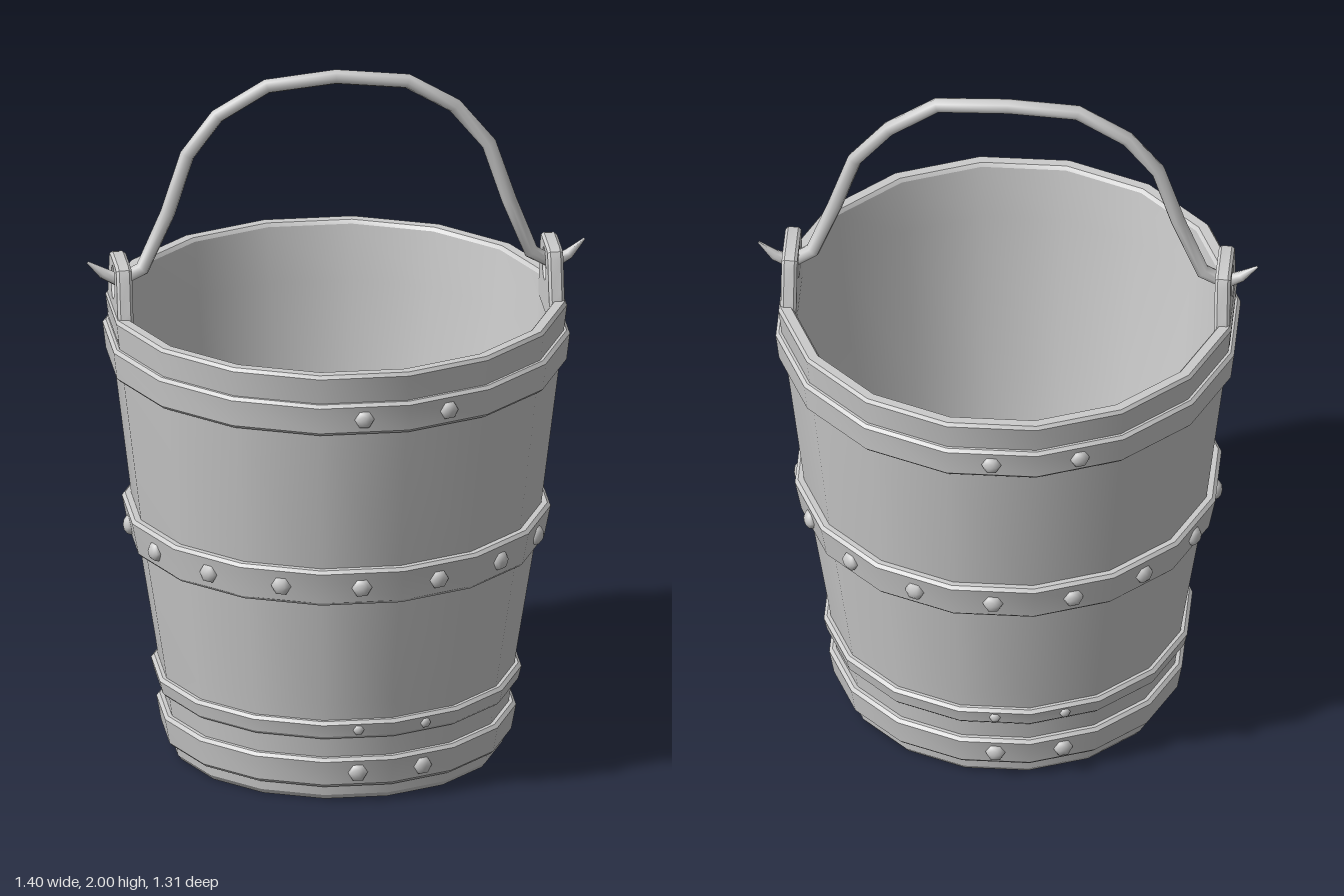
import * as THREE from 'three';
import { toCreasedNormals } from 'three/addons/utils/BufferGeometryUtils.js';

const SIDES = 16;
const FLAT = Math.cos(Math.PI / SIDES); // centre of a side relative to its corner

export function createModel() {
  const group = new THREE.Group();
  const material = new THREE.MeshStandardMaterial({ color: 0xcccccc });

  function add(name, geometry, parent = group) {
    const mesh = new THREE.Mesh(geometry, material);
    mesh.name = name;
    parent.add(mesh);
    return mesh;
  }

  // Sixteen-sided turned part; radii are measured to the middle of a side
  function turned(profile) {
    const points = profile.map(([r, y]) => new THREE.Vector2(r / FLAT, y));
    const lathe = new THREE.LatheGeometry(points, SIDES, Math.PI / SIDES);
    return toCreasedNormals(lathe, Math.PI / 6);
  }

  // Hollow tapered body with floor
  add('bucketBody', turned([
    [0, 0.02], [0.405, 0.02], [0.415, 0], [0.445, 0], [0.457, 0.015],
    [0.497, 0.3], [0.56, 0.7], [0.615, 1.16], [0.634, 1.32], [0.627, 1.33],
    [0.6, 1.33], [0.592, 1.32], [0.575, 1.16], [0.52, 0.7], [0.457, 0.3],
    [0.415, 0.04], [0, 0.04],
  ]));

  // Hoops with rivets; paired rivets sit on two neighbouring sides, front and back
  const pairs = [0, 1, 8, 9];
  const all = Array.from({ length: SIDES }, (_, i) => i);
  const hoops = [
    { name: 'topHoop', y0: 1.15, y1: 1.245, r0: 0.633, r1: 0.642, rivet: 0.028, at: pairs },
    { name: 'middleHoop', y0: 0.62, y1: 0.73, r0: 0.571, r1: 0.589, rivet: 0.029, at: all },
    { name: 'lowerHoop', y0: 0.195, y1: 0.25, r0: 0.5, r1: 0.509, rivet: 0.016, at: pairs },
    { name: 'bottomHoop', y0: 0.045, y1: 0.135, r0: 0.481, r1: 0.494, rivet: 0.028, at: pairs },
  ];
  for (const { name, y0, y1, r0, r1, rivet, at } of hoops) {
    const hoop = new THREE.Group();
    hoop.name = name;
    group.add(hoop);
    const b = 0.009;
    add(name + 'Band', turned([
      [r0 - 0.035, y0], [r0 - b, y0], [r0, y0 + b], [r1, y1 - b], [r1 - b, y1], [r1 - 0.035, y1],
    ]), hoop);

    const dome = new THREE.SphereGeometry(rivet, 6, 6);
    dome.scale(1, 0.7, 1).rotateX(Math.PI / 2);
    for (const i of at) {
      const angle = i * 2 * Math.PI / SIDES;
      const r = (r0 + r1) / 2;
      const mesh = add('rivet', dome, hoop);
      mesh.position.set(Math.sin(angle) * r, (y0 + y1) / 2, Math.cos(angle) * r);
      mesh.rotation.y = angle;
    }
  }

  // Pierced ears that carry the handle
  const half = [[0.125, 1.26], [0.122, 1.32], [0.108, 1.355], [0.088, 1.44], [0.078, 1.46], [0.06, 1.465]];
  const outline = [...half, ...half.map(([z, y]) => [-z, y]).reverse()];
  const earShape = new THREE.Shape(outline.map(([z, y]) => new THREE.Vector2(z, y)));
  const hole = new THREE.Path();
  hole.absellipse(0, 1.4, 0.036, 0.046, 0, Math.PI * 2, true);
  earShape.holes.push(hole);
  const earGeometry = toCreasedNormals(new THREE.ExtrudeGeometry(earShape, {
    depth: 0.028, curveSegments: 5, bevelThickness: 0.008, bevelSize: 0.006, bevelOffset: -0.003, bevelSegments: 1,
  }).translate(0, 0, -0.014), Math.PI / 6);
  for (const side of [1, -1]) {
    const ear = add(side > 0 ? 'rightEar' : 'leftEar', earGeometry);
    ear.rotation.y = side * Math.PI / 2;
    ear.position.x = side * 0.607;
  }

  // Slightly wavy bail handle, hooked through the ears with pointed ends
  const path = [
    [-0.7, 1.46, -0.008], [-0.655, 1.425, -0.008], [-0.61, 1.402, -0.006], [-0.545, 1.435, -0.006],
    [-0.475, 1.6, 0.003], [-0.42, 1.77, 0.002], [-0.335, 1.88, -0.004], [-0.195, 1.963, -0.003],
    [0, 1.98, -0.01], [0.2, 1.963, 0.004], [0.335, 1.88, -0.005], [0.43, 1.765, 0.002],
    [0.485, 1.6, 0.01], [0.548, 1.44, 0.006], [0.61, 1.402, 0], [0.655, 1.425, -0.003], [0.7, 1.468, -0.004],
  ].map((p) => new THREE.Vector3(...p));
  const curve = new THREE.CatmullRomCurve3(path);
  // One ring of the tube on each path point
  curve.getPointAt = curve.getPoint;
  curve.getTangentAt = curve.getTangent;
  const RING = 8;
  const handle = new THREE.TubeGeometry(curve, path.length - 1, 0.021, RING);
  const pos = handle.attributes.position;
  const v = new THREE.Vector3();
  path.forEach((centre, i) => {
    const fromEnd = Math.min(i, path.length - 1 - i);
    const taper = [0.15, 0.75][fromEnd] ?? 1;
    for (let j = 0; j <= RING; j++) {
      const k = i * (RING + 1) + j;
      v.fromBufferAttribute(pos, k).sub(centre).multiplyScalar(taper).add(centre);
      pos.setXYZ(k, v.x, v.y, v.z);
    }
  });
  add('handle', toCreasedNormals(handle, Math.PI / 3));

  return group;
}
